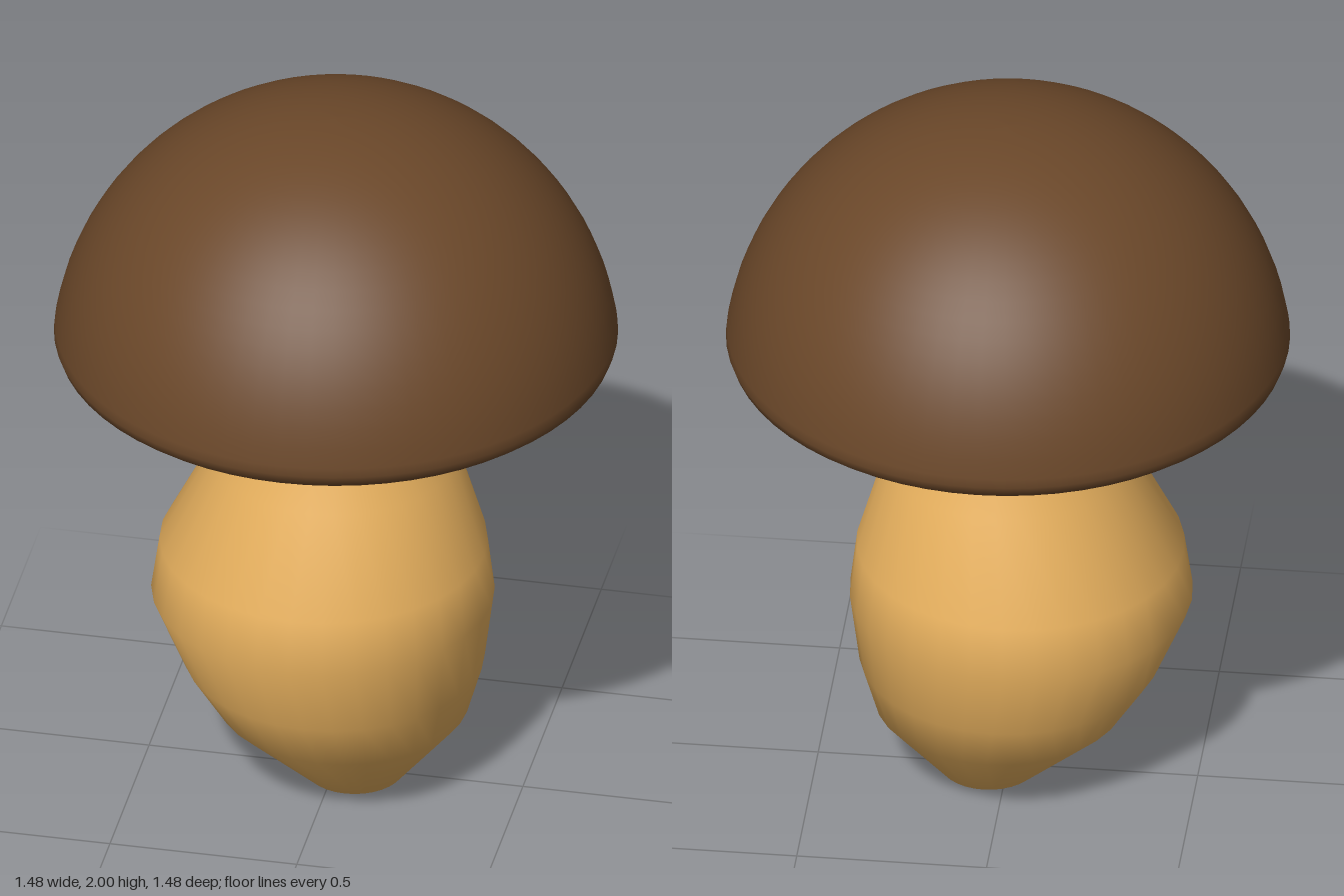
import * as THREE from 'three';

const material = (name, color) => {
  const m = new THREE.MeshStandardMaterial({ color });
  m.name = name;
  return m;
};

// Revolved part; points run from the bottom up so faces point outward
function lathe(name, points, segments, mat) {
  const profile = points.map(([r, y]) => new THREE.Vector2(r, y));
  const mesh = new THREE.Mesh(new THREE.LatheGeometry(profile, segments), mat);
  mesh.name = name;
  return mesh;
}

export function createModel() {
  const brown = material('cap brown', 0x6a4729);
  const tan = material('stem tan', 0xe9b25f);
  const cream = material('underside cream', 0xdedcb0);
  const group = new THREE.Group();
  group.name = 'mushroom';

  // Stem rings: radius, height, sideways offset that gives it a bent shape
  const rings = [
    [0, 0, 0.05], [0.13, 0, 0.05], [0.33, 0.21, 0.02], [0.395, 0.35, -0.005],
    [0.45, 0.55, -0.035], [0.43, 0.7, -0.033],
    [0.322, 0.97, -0.003], [0.24, 1.15, 0.005], [0.21, 1.28, 0.007],
  ];
  const stem = lathe('stem', rings, 32, tan);
  const pos = stem.geometry.attributes.position;
  for (let i = 0; i < pos.count; i++) pos.setX(i, pos.getX(i) + rings[i % rings.length][2]);
  group.add(stem);

  // Cap: rolled rim, then a round dome
  const dome = [[0.62, 1.285], [0.67, 1.288], [0.705, 1.3], [0.73, 1.32], [0.739, 1.345]];
  const start = Math.asin(0.115 / 0.745);
  for (let i = 0; i <= 20; i++) {
    const a = start + (Math.PI / 2 - start) * i / 20;
    dome.push([Math.max(0, 0.745 * Math.cos(a)), 1.255 + 0.745 * Math.sin(a)]);
  }
  group.add(lathe('cap', dome, 64, brown));

  // Shallow underside with a slightly ragged edge
  const under = [[0, 1.25], [0.22, 1.252], [0.45, 1.262], [0.6, 1.274], [0.678, 1.288]];
  const underside = lathe('underside', under, 48, cream);
  const up = underside.geometry.attributes.position;
  for (let i = under.length - 1; i < up.count; i += under.length) {
    const a = Math.atan2(up.getX(i), up.getZ(i));
    const s = 1 + 0.01 * Math.sin(11 * a) + 0.01 * Math.sin(17 * a + 1);
    up.setXYZ(i, up.getX(i) * s, up.getY(i), up.getZ(i) * s);
  }
  group.add(underside);

  return group;
}
